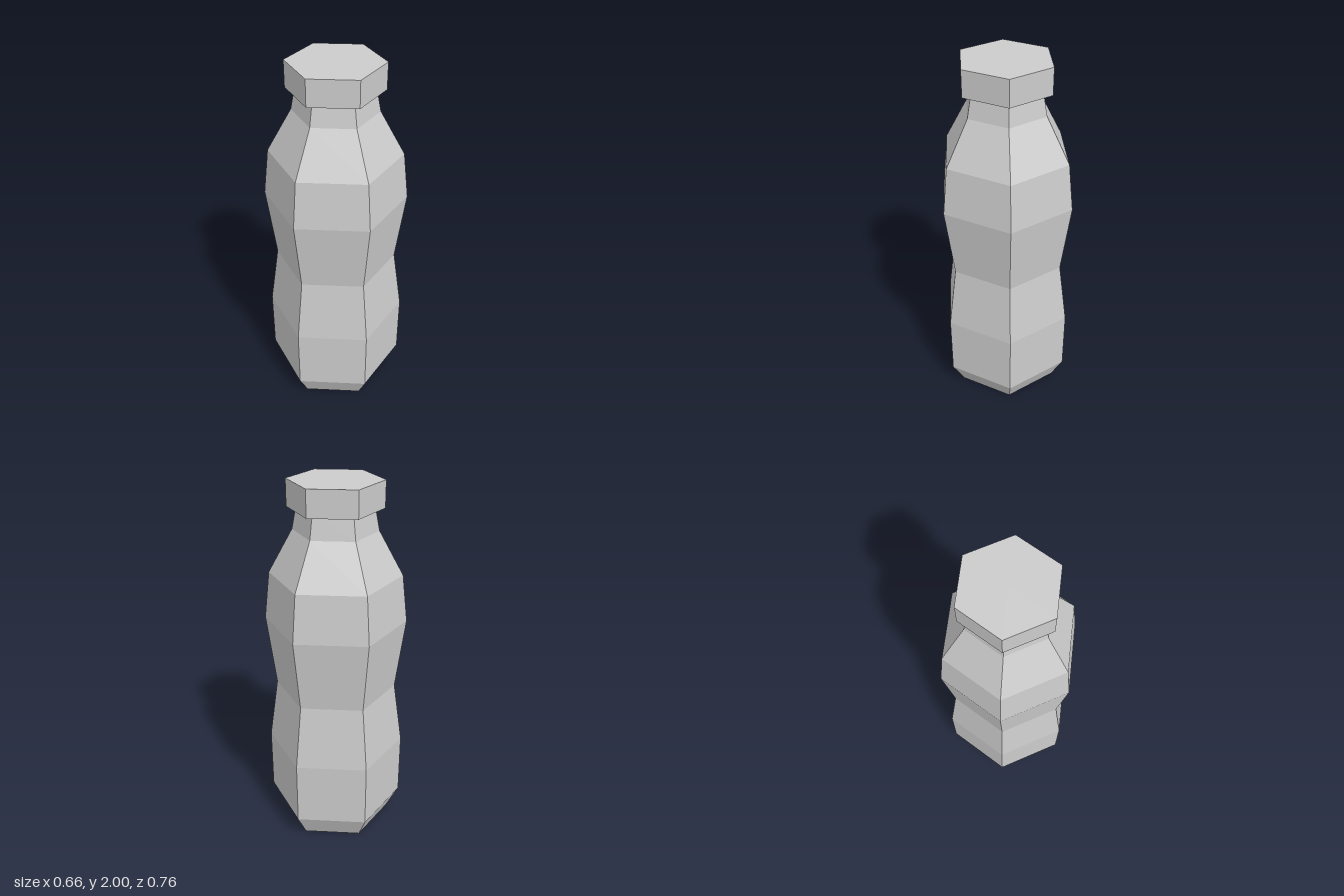
import * as THREE from 'three';

const SIDES = 6;

export function createModel() {
  const group = new THREE.Group();
  group.name = 'bottle';
  const material = new THREE.MeshStandardMaterial({ color: 0xcccccc, flatShading: true });

  // Hexagonal body: closed base, waisted middle, shoulder and neck (radius, height)
  const profile = [
    [0, 0], [0.312, 0], [0.382, 0.137], [0.382, 0.5], [0.331, 0.855],
    [0.381, 1.253], [0.351, 1.51], [0.222, 1.745], [0.198, 1.87],
  ].map(([r, y]) => new THREE.Vector2(r, y));
  const body = new THREE.Mesh(new THREE.LatheGeometry(profile, SIDES), material);
  body.name = 'body';
  group.add(body);

  // Hexagonal screw cap, wider than the neck
  const capHeight = 0.14;
  const cap = new THREE.Mesh(new THREE.CylinderGeometry(0.248, 0.248, capHeight, SIDES), material);
  cap.name = 'cap';
  cap.position.y = 2 - capHeight / 2;
  group.add(cap);

  return group;
}
